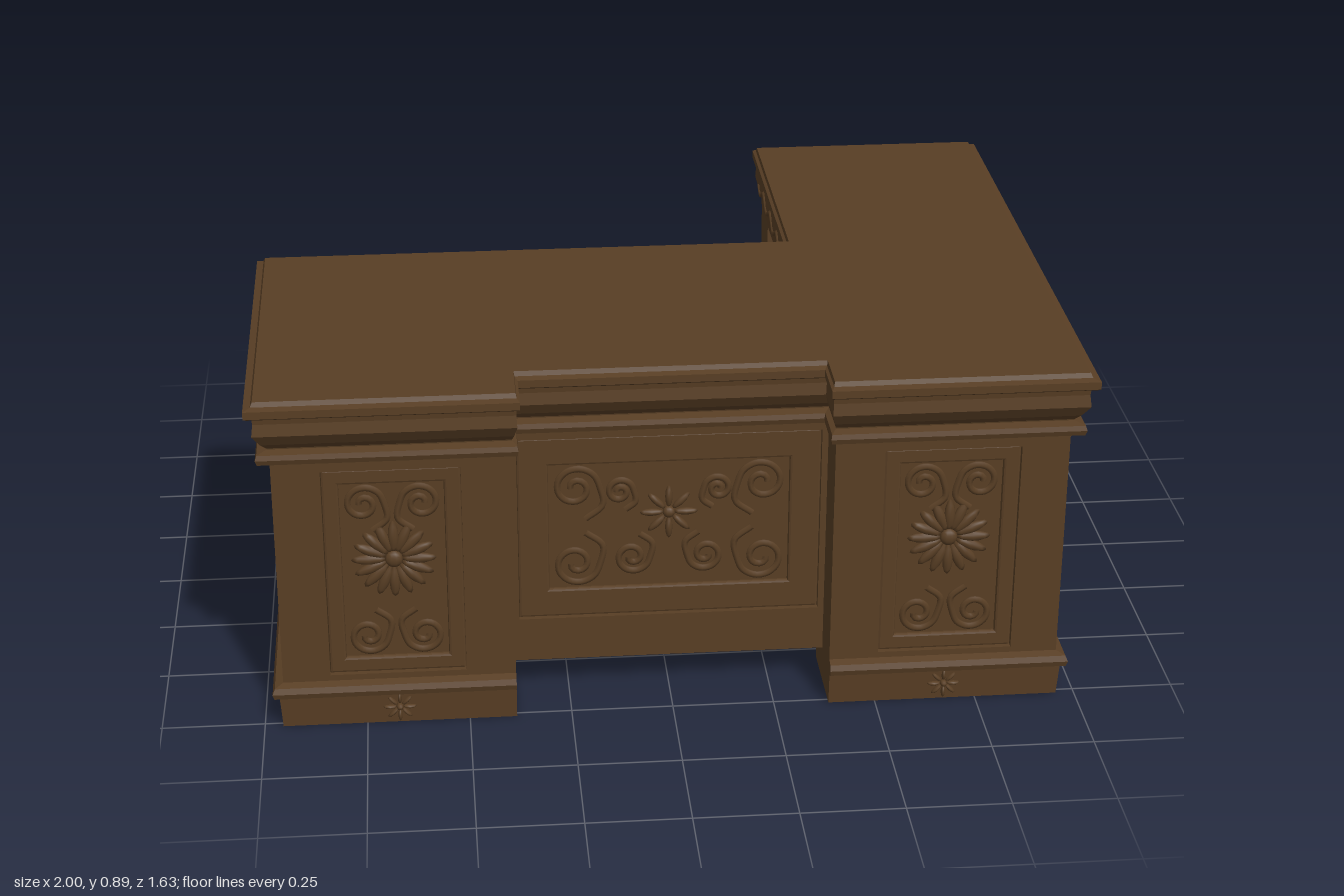
import * as THREE from 'three';

const wood = new THREE.MeshStandardMaterial({ color: 0x583e24 });
wood.name = 'dark walnut';

function add(parent, name, geometry, x = 0, y = 0, z = 0) {
  const mesh = new THREE.Mesh(geometry, wood);
  mesh.name = name;
  mesh.position.set(x, y, z);
  parent.add(mesh);
  return mesh;
}

// Push every right-angled outline edge outwards by d; mask scales each edge
function offset(outline, d, mask) {
  const n = outline.length;
  const normal = i => {
    const [ax, az] = outline[i], [bx, bz] = outline[(i + 1) % n];
    const m = mask ? mask[i] : 1;
    return [-Math.sign(bz - az) * m * d, Math.sign(bx - ax) * m * d];
  };
  return outline.map(([x, z], i) => {
    const p = normal((i + n - 1) % n), q = normal(i);
    return [x + p[0] + q[0], z + p[1] + q[1]];
  });
}

// Run a moulding profile of [overhang, height] around a floor plan, with caps
function loft(outline, profile, mask) {
  const rings = profile.map(([d, y]) => offset(outline, d, mask).map(([x, z]) => [x, y, z]));
  const v = [];
  const n = outline.length;
  for (let k = 0; k + 1 < rings.length; k++) {
    for (let i = 0; i < n; i++) {
      const j = (i + 1) % n;
      const a = rings[k][i], b = rings[k][j], c = rings[k + 1][j], d = rings[k + 1][i];
      v.push(...a, ...b, ...c, ...a, ...c, ...d);
    }
  }
  const cap = (ring, up) => {
    const flat = ring.map(p => new THREE.Vector2(p[0], -p[2]));
    for (const [a, b, c] of THREE.ShapeUtils.triangulateShape(flat, [])) {
      v.push(...ring[a], ...ring[up ? b : c], ...ring[up ? c : b]);
    }
  };
  cap(rings[0], false);
  cap(rings[rings.length - 1], true);
  const g = new THREE.BufferGeometry();
  g.setAttribute('position', new THREE.Float32BufferAttribute(v, 3));
  g.computeVertexNormals();
  return g;
}

// Rectangular plate with a rectangular opening; holeX, holeY shift the opening
function plate(w, h, holeW, holeH, holeX, holeY, options) {
  const rect = (s, cx, cy, a, b) => s.moveTo(cx - a, cy - b).lineTo(cx + a, cy - b)
    .lineTo(cx + a, cy + b).lineTo(cx - a, cy + b).closePath();
  const shape = rect(new THREE.Shape(), 0, 0, w / 2, h / 2);
  shape.holes.push(rect(new THREE.Path(), holeX, holeY, holeW / 2, holeH / 2));
  return new THREE.ExtrudeGeometry(shape, { bevelEnabled: false, ...options });
}

// Bevelled picture-frame moulding
function frame(w, h, border) {
  return plate(w - 0.012, h - 0.012, w - border * 2, h - border * 2, 0, 0,
    { depth: 0.005, bevelEnabled: true, bevelThickness: 0.006, bevelSize: 0.006, bevelSegments: 2 });
}

// Flat carved scroll: a spiral with a trailing tail
function scroll(parent, cx, cy, r, sx, sy) {
  const pts = [];
  for (let i = 0; i <= 14; i++) {
    const t = i / 14, a = t * Math.PI * 3, q = r * (0.2 + 0.8 * t);
    pts.push(new THREE.Vector3(cx + sx * Math.cos(a) * q, cy + sy * Math.sin(a) * q, 0));
  }
  pts.push(new THREE.Vector3(cx - sx * r * 1.1, cy - sy * r * 0.8, 0));
  pts.push(new THREE.Vector3(cx - sx * r * 0.4, cy - sy * r * 1.4, 0));
  const g = new THREE.TubeGeometry(new THREE.CatmullRomCurve3(pts), 44, 0.009, 6);
  add(parent, 'carvedScroll', g);
}

// Flower of flattened petals
function rosette(parent, x, y, z, r, petals) {
  const flower = new THREE.Group();
  flower.name = 'rosette';
  flower.position.set(x, y, z);
  for (let i = 0; i < petals; i++) {
    const a = (i / petals) * Math.PI * 2;
    const p = add(flower, 'petal', new THREE.SphereGeometry(1, 8, 6), Math.cos(a) * r * 0.6, Math.sin(a) * r * 0.6, 0);
    p.scale.set(r * 0.42, r * 0.13, 0.01);
    p.rotation.z = a;
  }
  add(flower, 'flowerCentre', new THREE.SphereGeometry(1, 10, 8)).scale.set(r * 0.22, r * 0.22, 0.014);
  parent.add(flower);
}

// Sunken panel with a frame and corner scrolls
function panel(parent, name, w, h, border, r) {
  const g = new THREE.Group();
  g.name = name;
  add(g, 'panelFrame', frame(w, h, border));
  const ix = w / 2 - border - r - 0.012, iy = h / 2 - border - r - 0.012;
  for (const sx of [-1, 1]) for (const sy of [-1, 1]) scroll(g, sx * ix, sy * iy, r, sx, sy);
  parent.add(g);
  return g;
}

export function createModel() {
  const desk = new THREE.Group();
  desk.name = 'cornerDesk';

  // Floor plans as [x, z]; carved faces sit 0.02 back, behind pierced plates
  const plan = [[-0.95, 0.76], [-0.385, 0.76], [-0.385, 0.64], [0.385, 0.64], [0.385, 0.76],
    [0.95, 0.76], [0.95, -0.76], [0.39, -0.76], [0.39, -0.06], [-0.95, -0.06]];
  const leftPlan = [[-0.95, 0.76], [-0.385, 0.76], [-0.385, -0.06], [-0.95, -0.06]];
  const leftCore = [[-0.93, 0.74], [-0.385, 0.74], [-0.385, -0.06], [-0.93, -0.06]];
  const wingFrom = front => [[0.385, front], [0.95, front], [0.95, -0.76], [0.39, -0.76],
    [0.39, -0.62], [0.85, -0.62], [0.85, 0.54], [0.385, 0.54]];

  // Pedestals, wing walls and their plinths
  const wall = [[0, 0.12], [0, 0.72]];
  const base = [[0.005, 0], [0.01, 0.08], [0.022, 0.086], [0.026, 0.1], [0.02, 0.114], [0, 0.12]];
  add(desk, 'smallPedestal', loft(leftCore, wall));
  add(desk, 'smallPedestalPlinth', loft(leftPlan, base, [1, 0, 0, 1]));
  add(desk, 'wingWalls', loft(wingFrom(0.74), wall));
  add(desk, 'wingPlinth', loft(wingFrom(0.76), base, [1, 1, 0, 0, 0, 0, 0, 0]));
  add(desk, 'modestyPanel', new THREE.BoxGeometry(0.77, 0.635, 0.08), 0, 0.4025, 0.58);

  // Necking moulding, frieze and worktop
  add(desk, 'neckMoulding', loft(plan, [[0.01, 0.715], [0.028, 0.722], [0.032, 0.735], [0.028, 0.747], [0.005, 0.752]],
    [1, 0.5, 1, 0.5, 1, 1, 0, 0, 0, 1]));
  const rim = [1.05, 0.4, 1, 0.4, 1.05, 1, 1, 0.45, 0.8, 1];
  add(desk, 'frieze', loft(plan, [[0, 0.721], [0.005, 0.755], [0.018, 0.77], [0.036, 0.8], [0.032, 0.83], [0.034, 0.85]], rim));
  add(desk, 'worktop', loft(plan, [[0.045, 0.848], [0.052, 0.853], [0.052, 0.872], [0.035, 0.876], [0.03, 0.887]], rim));

  // Short moulding returns at the rear corners
  for (const [x, z] of [[0.935, -0.79], [-0.935, -0.085]]) {
    add(desk, 'neckReturn', new THREE.BoxGeometry(0.09, 0.03, 0.06), x, 0.735, z);
    add(desk, 'plinthReturn', new THREE.BoxGeometry(0.08, 0.03, 0.04), x, 0.1, z + 0.015);
  }

  // Carved front panels on both pedestals
  for (const s of [-1, 1]) {
    add(desk, 'pedestalFace', plate(0.565, 0.6, 0.33, 0.55, s * 0.0025, -0.01, { depth: 0.02 }), s * 0.6675, 0.42, 0.74);
    const p = panel(desk, 'pedestalPanel', 0.33, 0.55, 0.035, 0.05);
    p.position.set(s * 0.67, 0.41, 0.74);
    rosette(p, 0, 0.03, 0.004, 0.1, 16);
    rosette(desk, s * 0.67, 0.045, 0.768, 0.04, 8);
  }

  // Wide centre panel with a flower and scrollwork
  add(desk, 'centreFace', plate(0.77, 0.635, 0.74, 0.49, 0, 0.0425, { depth: 0.02 }), 0, 0.4025, 0.62);
  const centre = panel(desk, 'centrePanel', 0.74, 0.49, 0.07, 0.06);
  centre.position.set(0, 0.445, 0.62);
  rosette(centre, 0, 0.03, 0.002, 0.07, 8);
  for (const s of [-1, 1]) {
    scroll(centre, s * 0.09, -0.09, 0.045, s, -1);
    scroll(centre, s * 0.12, 0.09, 0.035, s, 1);
  }

  // Carved outer side panel of the small pedestal
  const sideFace = plate(0.8, 0.6, 0.58, 0.55, -0.01, -0.01, { depth: 0.02 });
  add(desk, 'sideFace', sideFace, -0.93, 0.42, 0.34).rotation.y = -Math.PI / 2;
  const side = panel(desk, 'sidePanel', 0.58, 0.55, 0.045, 0.075);
  side.position.set(-0.93, 0.41, 0.33);
  side.rotation.y = -Math.PI / 2;
  rosette(side, 0, 0, 0.002, 0.07, 10);

  // Wavy carving along the inner friezes
  const wave = (length, count) => {
    const pts = [];
    for (let i = 0; i <= count * 4; i++) {
      pts.push(new THREE.Vector3((i / (count * 4) - 0.5) * length, 0.015 * Math.sin(i * Math.PI / 2), 0));
    }
    return new THREE.TubeGeometry(new THREE.CatmullRomCurve3(pts), count * 10, 0.007, 5);
  };
  add(desk, 'backFriezeCarving', wave(1.26, 9), -0.29, 0.805, -0.087);
  add(desk, 'wingFriezeCarving', wave(0.58, 4), 0.376, 0.805, -0.42).rotation.y = Math.PI / 2;

  // Small loose block in the knee space
  add(desk, 'floorBlock', new THREE.BoxGeometry(0.092, 0.085, 0.092), 0.098, 0.0425, 0.215);

  return desk;
}
